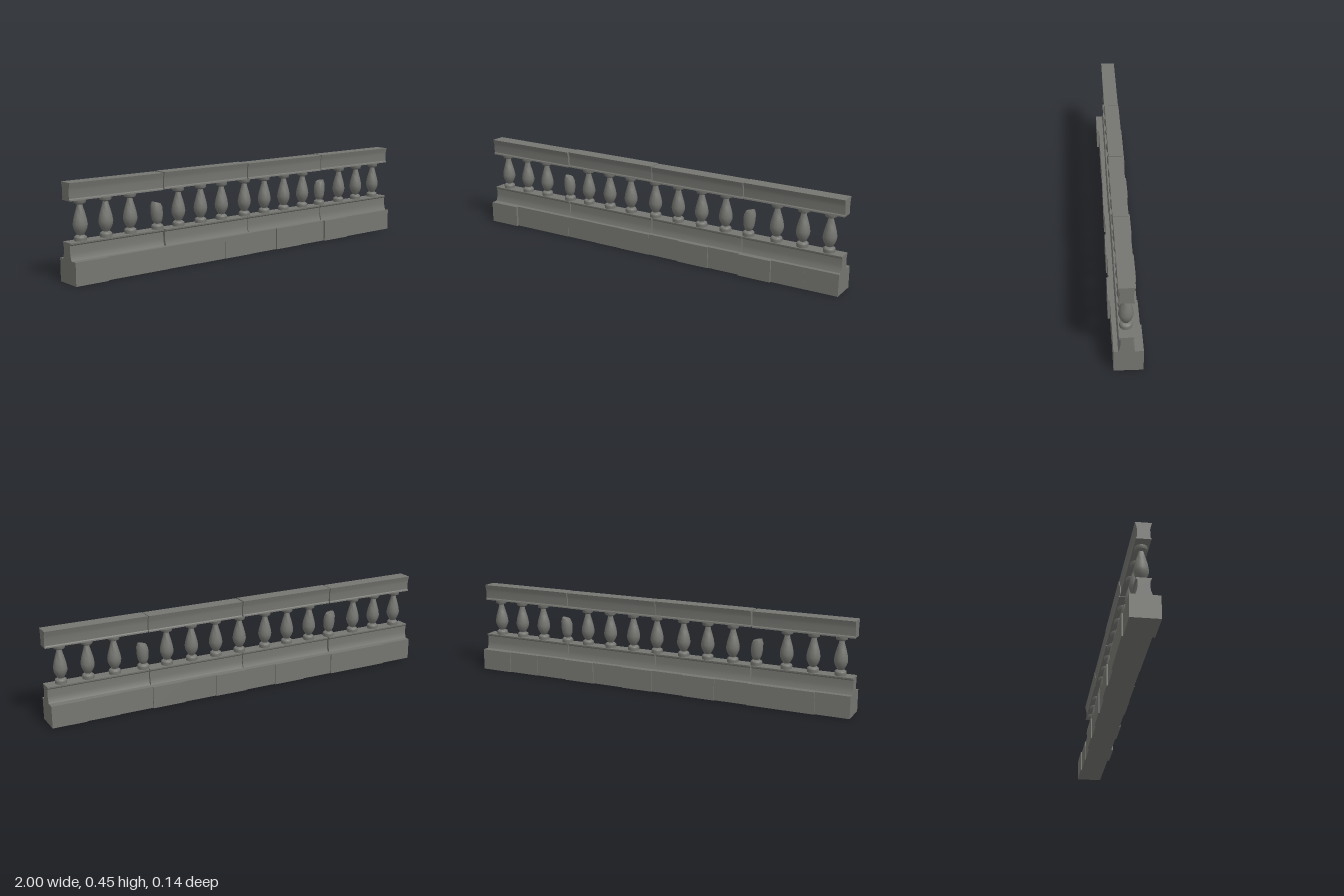
import * as THREE from 'three';
import { toCreasedNormals } from 'three/addons/utils/BufferGeometryUtils.js';

const stone = new THREE.MeshStandardMaterial({ color: 0x757571 });
stone.name = 'weathered grey stone';

function add(parent, name, geometry, x = 0, y = 0, z = 0) {
  const mesh = new THREE.Mesh(geometry, stone);
  mesh.name = name;
  mesh.position.set(x, y, z);
  parent.add(mesh);
  return mesh;
}

// Moulded beam: symmetric [half depth, height] profile extruded along x
function beam(profile, length) {
  const right = profile.map(([d, y]) => new THREE.Vector2(d, y));
  const left = profile.map(([d, y]) => new THREE.Vector2(-d, y)).reverse();
  const geo = new THREE.ExtrudeGeometry(new THREE.Shape([...right, ...left]), {
    depth: length, bevelEnabled: false, steps: 1,
  });
  geo.translate(0, 0, -length / 2).rotateY(Math.PI / 2);
  return toCreasedNormals(geo, 0.5);
}

function turned(profile) {
  return new THREE.LatheGeometry(profile.map(([r, y]) => new THREE.Vector2(r, y)), 12);
}

const lowerProfile = [
  [0.036, 0.107], [0.033, 0.114], [0.029, 0.127], [0.027, 0.14],
  [0.027, 0.173], [0.032, 0.178], [0.033, 0.185],
];
const upperProfile = [
  [0.033, 0.37], [0.032, 0.376], [0.028, 0.38], [0.028, 0.416],
  [0.03, 0.428], [0.034, 0.442], [0.036, 0.45],
];
const footProfile = [
  [0, 0.184], [0.028, 0.184], [0.028, 0.192], [0.029, 0.197], [0.027, 0.204], [0.02, 0.209], [0.014, 0.211],
];
const balusterProfile = [
  ...footProfile, [0.019, 0.218], [0.027, 0.232], [0.032, 0.246], [0.033, 0.26],
  [0.029, 0.284], [0.022, 0.31], [0.015, 0.333], [0.012, 0.347], [0.016, 0.35],
  [0.026, 0.354], [0.028, 0.358], [0.028, 0.371], [0, 0.371],
];
const stumpProfile = [
  ...footProfile, [0.02, 0.219], [0.026, 0.235], [0.029, 0.26], [0.029, 0.29], [0.022, 0.31], [0, 0.31],
];

// Snapped baluster: the stump leans sideways and ends in a slanted break
function brokenBaluster(lean) {
  const geo = turned(stumpProfile);
  const p = geo.attributes.position;
  for (let i = 0; i < p.count; i++) {
    const t = THREE.MathUtils.clamp((p.getY(i) - 0.22) / 0.09, 0, 1);
    const x = p.getX(i);
    p.setY(i, p.getY(i) + t * t * x * lean * 0.25);
    p.setX(i, x + t * lean * 0.004);
    p.setZ(i, p.getZ(i) * (1 - 0.12 * t) - t * 0.002);
  }
  return toCreasedNormals(geo, 0.7);
}

export function createModel() {
  const model = new THREE.Group();
  model.name = 'balustrade';

  // Twelve foundation blocks, set slightly unevenly: [front z, back z]
  const blocks = [
    [0.07, -0.063], [0.058, -0.07], [0.058, -0.07], [0.056, -0.064],
    [0.058, -0.07], [0.06, -0.064], [0.056, -0.07], [0.063, -0.064],
    [0.057, -0.07], [0.067, -0.063], [0.057, -0.067], [0.056, -0.073],
  ];
  const width = 2 / blocks.length;
  blocks.forEach(([front, back], i) => {
    add(model, 'foundationBlock', new THREE.BoxGeometry(width, 0.107, front - back),
      -1 + width * (i + 0.5), 0.0535, (front + back) / 2);
  });

  // Four plinth and handrail lengths with narrow joints
  const spans = [[-1, -0.508], [-0.5, -0.003], [0.002, 0.497], [0.502, 1]];
  const shift = [-0.001, 0.001, -0.001, 0];
  const lift = [0, 0.002, 0, 0.001];
  spans.forEach(([a, b], i) => {
    add(model, 'plinthRail', beam(lowerProfile, b - a), (a + b) / 2, 0, shift[i]);
    add(model, 'handrail', beam(upperProfile, b - a), (a + b) / 2, lift[i], -shift[i]);
  });

  // Whole balusters
  const whole = toCreasedNormals(turned(balusterProfile), 0.7);
  for (const x of [-0.931, -0.8, -0.671, -0.401, -0.27, -0.142, 0.003, 0.134, 0.265, 0.396, 0.663, 0.794, 0.925]) {
    add(model, 'baluster', whole, x);
  }

  // Broken balusters, leaning away from the middle
  add(model, 'brokenBaluster', brokenBaluster(-1), -0.522);
  add(model, 'brokenBaluster', brokenBaluster(1), 0.519);

  return model;
}
